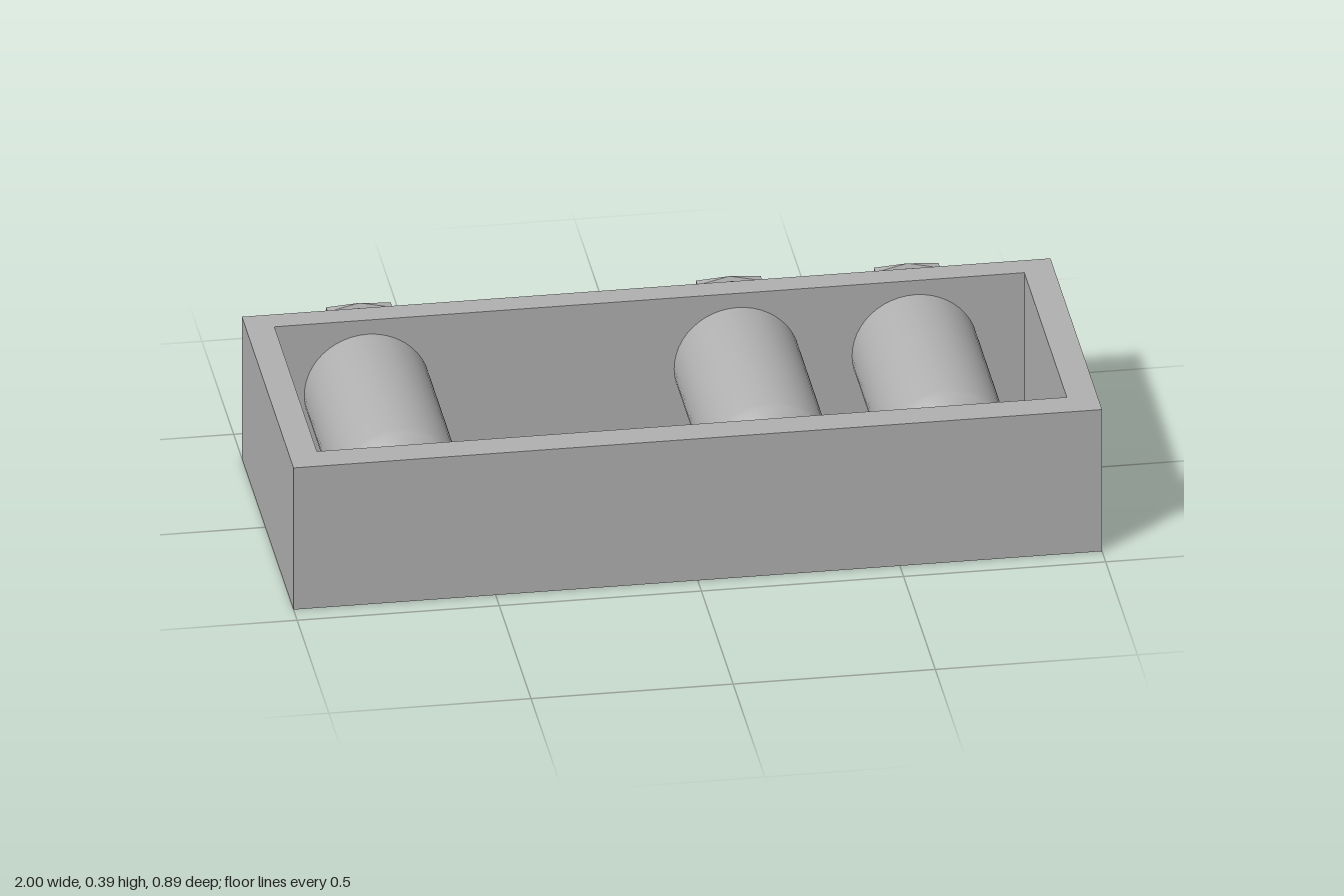
import * as THREE from 'three';
import { toCreasedNormals } from 'three/addons/utils/BufferGeometryUtils.js';

const HEIGHT = 0.39, CUP_Y = 0.195, CUP_X = [-0.7, 0.215, 0.655];
const BACK_OUT = -0.37, BACK_IN = -0.305, FRONT = 0.443;

const vectors = (points) => points.map(([x, y]) => new THREE.Vector2(x, y));

// Extrudes a plan outline (x, -z) upwards
function extrudeUp(points, height) {
  const geometry = new THREE.ExtrudeGeometry(new THREE.Shape(vectors(points)), { depth: height, bevelEnabled: false });
  return geometry.rotateX(-Math.PI / 2);
}

// Back wall with one round opening per cup
function backWallGeometry() {
  const shape = new THREE.Shape(vectors([[-1, 0], [1, 0], [1, HEIGHT], [-1, HEIGHT]]));
  for (const x of CUP_X) {
    const hole = new THREE.Path();
    hole.absarc(x, CUP_Y, 0.153, 0, Math.PI * 2, true);
    shape.holes.push(hole);
  }
  const geometry = new THREE.ExtrudeGeometry(shape, { depth: BACK_IN - BACK_OUT, bevelEnabled: false, curveSegments: 24 });
  return geometry.translate(0, 0, BACK_OUT);
}

// Hollow cup: outside from the closed end to the rim, then back down the bore
function cupGeometry() {
  const profile = vectors([
    [0, -0.27], [0.115, -0.27], [0.128, -0.262], [0.153, -0.22], [0.156, -0.205],
    [0.156, 0.418], [0.162, 0.42], [0.162, 0.445], [0.138, 0.445],
    [0.138, -0.19], [0.105, -0.245], [0, -0.245],
  ]);
  const geometry = new THREE.LatheGeometry(profile, 48).rotateX(-Math.PI / 2);
  return toCreasedNormals(geometry, 0.5);
}

// Chevron tab on top of the rim, falling slightly towards its ends
function tabGeometry() {
  const outline = [[-0.08, 0.42], [0, 0.4], [0.08, 0.42], [0.08, 0.445], [0, 0.427], [-0.08, 0.445]];
  const geometry = extrudeUp(outline, 0.04).translate(0, 0.14, 0);
  const p = geometry.attributes.position;
  for (let i = 0; i < p.count; i++) {
    if (p.getY(i) > 0.16) p.setY(i, 0.18 - 0.19 * Math.abs(p.getX(i)));
  }
  geometry.computeVertexNormals();
  return geometry;
}

export function createModel() {
  const model = new THREE.Group();
  const grey = new THREE.MeshStandardMaterial({ name: 'grey', color: 0xb0b0b0 });
  const add = (parent, geometry, name) => {
    const mesh = new THREE.Mesh(geometry, grey);
    mesh.name = name;
    parent.add(mesh);
  };

  // Open frame: front and side walls in one piece, closed by the back wall
  const walls = [
    [-1, -FRONT], [1, -FRONT], [1, -BACK_IN], [0.925, -BACK_IN],
    [0.925, -0.365], [-0.93, -0.365], [-0.93, -BACK_IN], [-1, -BACK_IN],
  ];
  add(model, extrudeUp(walls, HEIGHT), 'frontAndSideWalls');
  add(model, backWallGeometry(), 'backWall');

  // Cups pushed through the back wall
  const cup = cupGeometry(), tab = tabGeometry();
  for (const x of CUP_X) {
    const group = new THREE.Group();
    group.name = 'cup';
    group.position.set(x, CUP_Y, 0);
    add(group, cup, 'cupBody');
    add(group, tab, 'rimTab');
    model.add(group);
  }
  return model;
}
